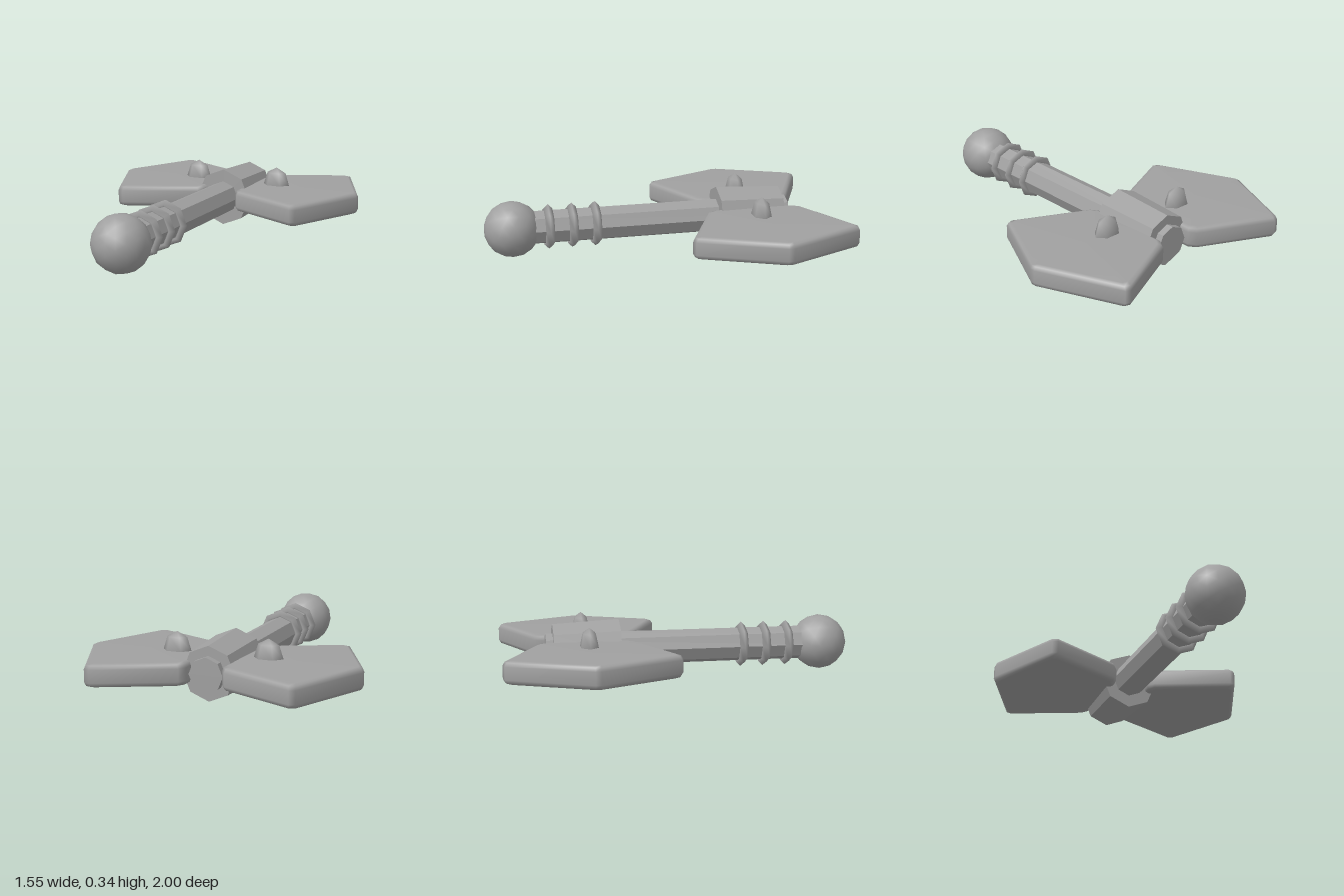
import * as THREE from 'three';

const AXIS_Y = 0.17;

// Convex plate with rounded rims: inset copies of one outline stacked in y
function roundedPlate(outline, cx, cz, layers) {
  const pos = [], idx = [], n = outline.length;
  for (const [scale, y] of layers)
    for (const [x, z] of outline) pos.push(cx + (x - cx) * scale, y, cz + (z - cz) * scale);
  for (let l = 0; l < layers.length - 1; l++)
    for (let i = 0; i < n; i++) {
      const a = l * n + i, b = l * n + (i + 1) % n;
      idx.push(a, a + n, b, b, a + n, b + n);
    }
  // Fan caps below and above
  const low = pos.length / 3, high = low + 1, top = (layers.length - 1) * n;
  pos.push(cx, layers[0][1], cz, cx, layers[layers.length - 1][1], cz);
  for (let i = 0; i < n; i++) {
    const j = (i + 1) % n;
    idx.push(low, i, j, high, top + j, top + i);
  }
  const geo = new THREE.BufferGeometry();
  geo.setAttribute('position', new THREE.Float32BufferAttribute(pos, 3));
  geo.setIndex(idx);
  geo.computeVertexNormals();
  return geo;
}

export function createModel() {
  const group = new THREE.Group();
  const grey = new THREE.MeshStandardMaterial({ color: 0xa0a0a0 });
  grey.name = 'grey';
  const add = (name, geo, x, y, z) => {
    const mesh = new THREE.Mesh(geo, grey);
    mesh.name = name;
    mesh.position.set(x, y, z);
    group.add(mesh);
    return mesh;
  };
  // Flat-faced octagonal bar along z, with an edge on top
  const octagon = (rFront, rBack, length) =>
    flat(new THREE.CylinderGeometry(rFront, rBack, length, 8).rotateX(Math.PI / 2));
  const flat = (geo) => {
    const g = geo.toNonIndexed();
    g.computeVertexNormals();
    return g;
  };

  // Handle, tapered collar and pommel
  add('handle', octagon(0.096, 0.096, 1.55), 0, AXIS_Y, 0.025);
  add('collar', octagon(0.168, 0.149, 0.375), 0, AXIS_Y, -0.5225);
  add('pommel', new THREE.IcosahedronGeometry(0.158, 2), 0, AXIS_Y, 0.843);

  // Grip rings
  for (const z of [0.375, 0.507, 0.64])
    add('gripRing', new THREE.TorusGeometry(0.106, 0.025, 4, 8), 0, AXIS_Y, z);

  // Mirrored blades, each with a stud on top
  const half = [[0.775, -0.515], [0.572, -0.07], [0.54, -0.06], [0.127, -0.25], [0.1, -0.29]];
  const mirrorZ = -0.53;
  const right = [...half, ...half.map(([x, z]) => [x, 2 * mirrorZ - z]).reverse()];
  const layers = [[0.92, -0.063], [0.975, -0.055], [1, -0.035], [1, 0.035], [0.975, 0.055], [0.92, 0.063]];
  for (const side of [1, -1]) {
    const outline = right.map(([x, z]) => [x * side, z]);
    // Keep the winding the same on both sides
    if (side > 0) outline.reverse();
    const ordered = isCounter(outline) ? outline : outline.reverse();
    add('blade', roundedPlate(ordered, 0.42 * side, mirrorZ, layers), 0, 0.173, 0);
    add('bladeStud', new THREE.SphereGeometry(1, 6, 4), 0.262 * side, 0.235, -0.527).scale.set(0.083, 0.105, 0.055);
  }
  return group;
}

// True when the outline turns from +x towards +z
function isCounter(p) {
  return p.reduce((s, [x, z], i) => {
    const [u, w] = p[(i + 1) % p.length];
    return s + x * w - u * z;
  }, 0) > 0;
}
